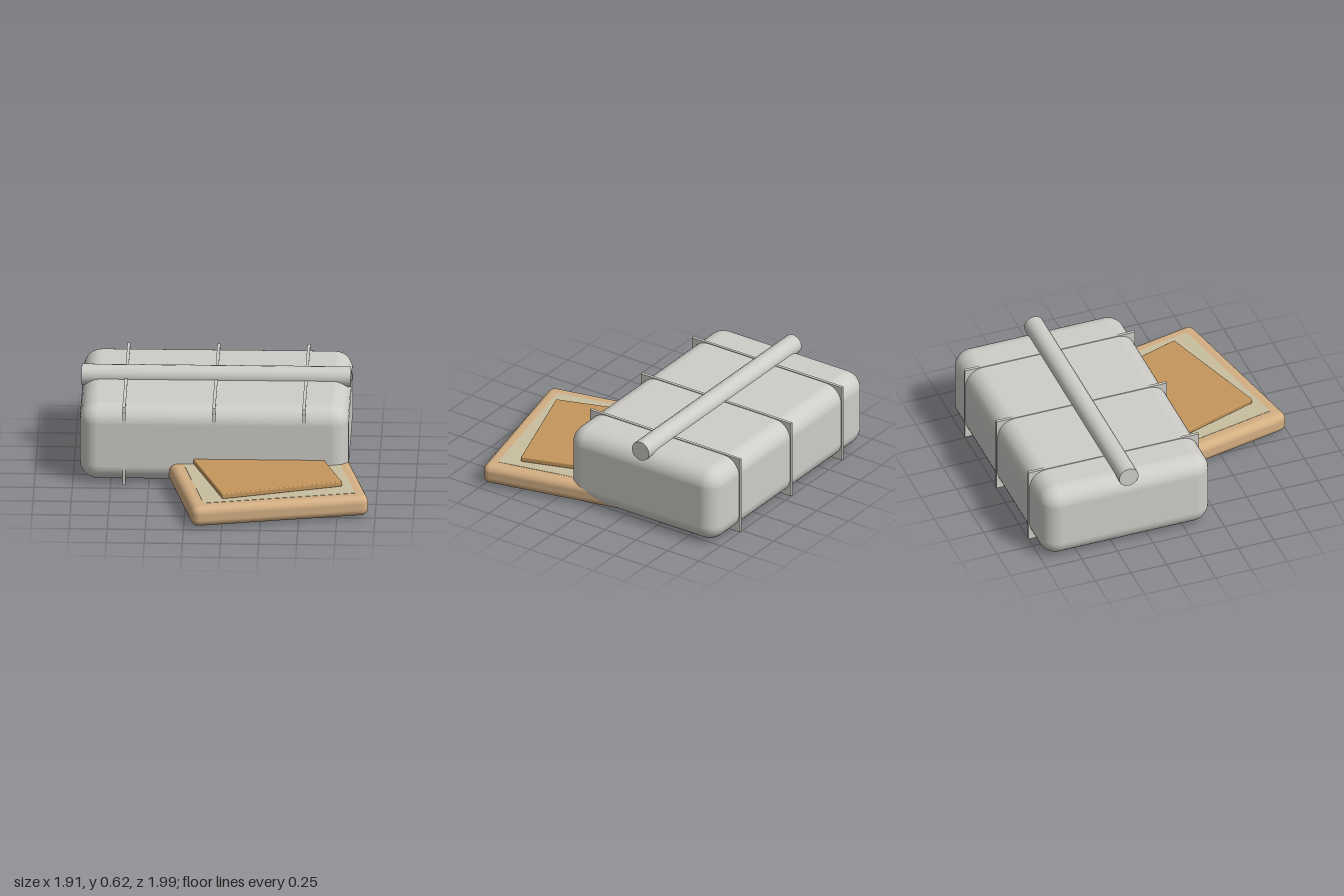
import * as THREE from 'three';
import { RoundedBoxGeometry } from 'three/addons/geometries/RoundedBoxGeometry.js';

export function createModel() {
  const model = new THREE.Group();
  const paint = (name, color) => {
    const m = new THREE.MeshStandardMaterial({ color });
    m.name = name;
    return m;
  };
  const grey = paint('light grey', 0xcfcdc8);
  const tan = paint('tan', 0xd4af83);
  const cream = paint('cream', 0xc9be9f);
  const brown = paint('golden brown', 0xc4965c);

  const add = (parent, name, geometry, material, x, y, z) => {
    const mesh = new THREE.Mesh(geometry, material);
    mesh.name = name;
    mesh.position.set(x, y, z);
    parent.add(mesh);
    return mesh;
  };
  // Group turned about the vertical axis, so its parts use local x and z
  const turned = (name, degrees) => {
    const g = new THREE.Group();
    g.name = name;
    g.rotation.y = THREE.MathUtils.degToRad(degrees);
    model.add(g);
    return g;
  };

  // Rounded case
  const cx = -0.0725, cz = -0.403;
  add(model, 'case', new RoundedBoxGeometry(1.765, 0.53, 1.182, 4, 0.12), grey, cx, 0.275, cz);

  // Thin rectangular bands around the case
  for (const dx of [-0.59, 0, 0.59]) {
    add(model, 'band', new THREE.BoxGeometry(0.02, 0.545, 1.194), grey, cx + dx, 0.2725, cz);
  }

  // Rod lying along the top
  const rod = add(model, 'rod', new THREE.CylinderGeometry(0.068, 0.068, 1.765, 16), grey, cx, 0.549, cz);
  rod.rotation.z = Math.PI / 2;

  // Padded slab, turned, tucked under the front of the case
  const slab = turned('slab', 12);
  add(slab, 'slabBody', new RoundedBoxGeometry(1.18, 0.138, 1.19, 4, 0.05), tan, 0.195, 0.081, 0.345);
  for (const y of [0.15, 0.012]) {
    add(slab, 'slabInset', new THREE.BoxGeometry(1.01, 0.004, 1.02), cream, 0.2, y, 0.345);
  }

  // Thin board lying on the slab
  const board = turned('board', 18.1);
  add(board, 'boardPanel', new RoundedBoxGeometry(0.82, 0.036, 0.84, 2, 0.008), brown, 0.154, 0.168, 0.364);

  return model;
}
